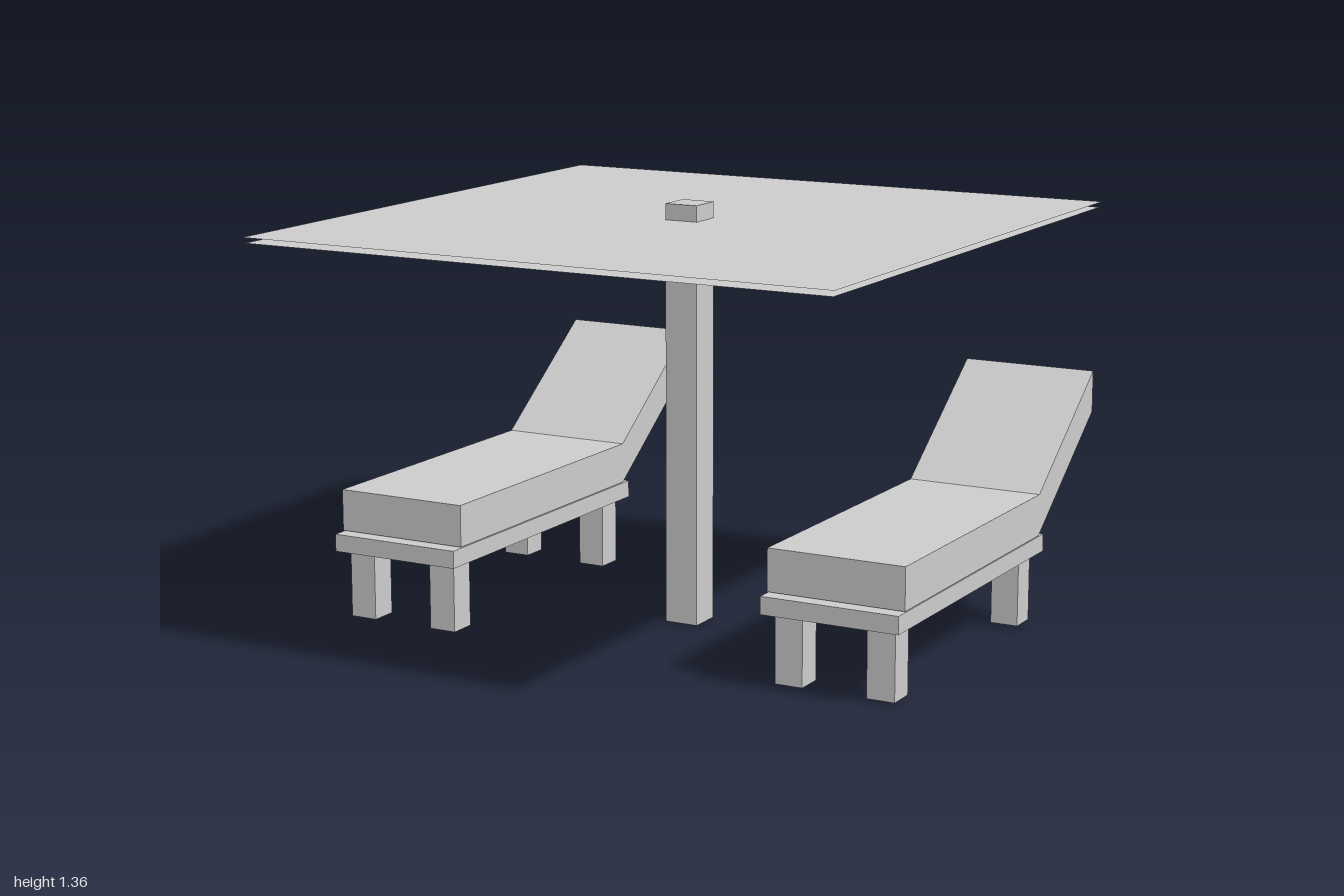
import * as THREE from 'three';

const material = new THREE.MeshStandardMaterial({ color: 0xcccccc, flatShading: true });
const sheetMaterial = new THREE.MeshStandardMaterial({ color: 0xcccccc, side: THREE.DoubleSide });

function addMesh(parent, name, geometry, x, y, z, mat = material) {
  const mesh = new THREE.Mesh(geometry, mat);
  mesh.name = name;
  mesh.position.set(x, y, z);
  parent.add(mesh);
}

function createLounger(name) {
  const lounger = new THREE.Group();
  lounger.name = name;
  const width = 0.454;

  // Cushion with raised backrest: side profile in (z, y), extruded across the width
  const profile = new THREE.Shape([
    [0.511, 0.289], [0.511, 0.425], [-0.511, 0.425],
    [-0.957, 0.752], [-0.957, 0.615], [-0.511, 0.289],
  ].map(([z, y]) => new THREE.Vector2(z, y)));
  const cushion = new THREE.ExtrudeGeometry(profile, { depth: width, bevelEnabled: false });
  cushion.translate(0, 0, -width / 2).rotateY(-Math.PI / 2);
  addMesh(lounger, 'cushion', cushion, 0, 0, 0);

  // Flat bed frame
  addMesh(lounger, 'frame', new THREE.BoxGeometry(width, 0.057, 1.107), 0, 0.2575, 0.002);

  // Four square legs
  for (const x of [-0.1525, 0.1525]) {
    for (const z of [0.466, -0.464]) {
      addMesh(lounger, 'leg', new THREE.BoxGeometry(0.092, 0.224, 0.092), x, 0.118, z);
    }
  }
  return lounger;
}

export function createModel() {
  const model = new THREE.Group();
  model.name = 'sunLoungersWithParasol';

  // Central post, poking through the canopy
  addMesh(model, 'post', new THREE.BoxGeometry(0.112, 1.364, 0.112), 0, 0.682, 0);

  // Canopy: two thin sheets with a small gap, the lining slightly smaller
  for (const [name, y, size] of [['canopyTop', 1.312, 1.996], ['canopyLining', 1.294, 1.985]]) {
    const sheet = new THREE.PlaneGeometry(size, size).rotateX(-Math.PI / 2);
    addMesh(model, name, sheet, 0, y, 0, sheetMaterial);
  }

  // One lounger on each side of the post
  for (const [name, side] of [['leftLounger', 1], ['rightLounger', -1]]) {
    const lounger = createLounger(name);
    lounger.position.x = side * 0.773;
    model.add(lounger);
  }
  return model;
}
